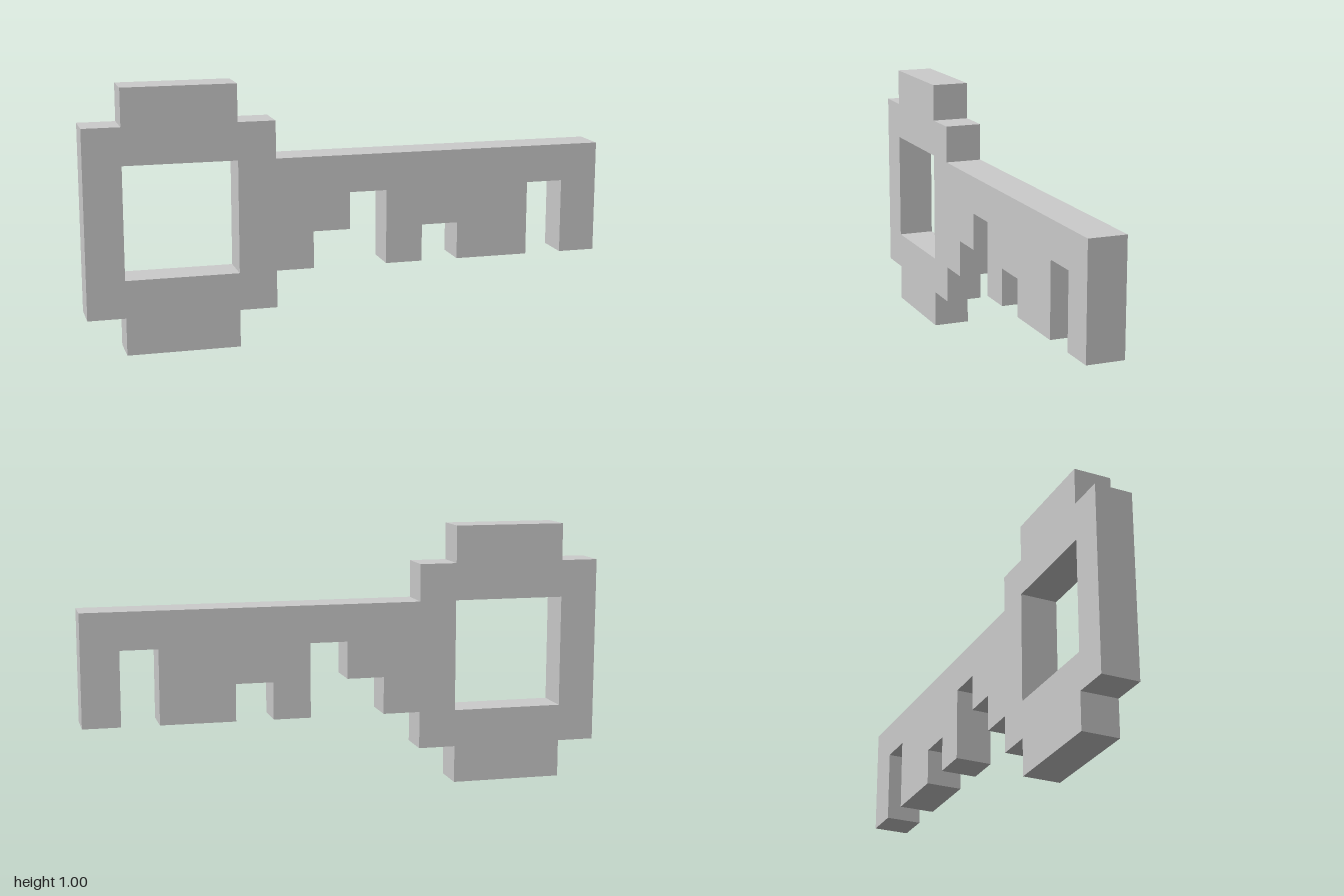
import * as THREE from 'three';

// The key is laid out on a square grid, 14 cells wide and 7 tall
const CELL = 1 / 7;
const toPoints = (cells) =>
  cells.map(([cx, cy]) => new THREE.Vector2(cx * CELL - 1, cy * CELL));

export function createModel() {
  const group = new THREE.Group();
  group.name = 'pixelKey';

  // Stepped outline, counter-clockwise from the bottom of the bow
  const outline = new THREE.Shape(toPoints([
    [1, 0], [4, 0], [4, 1], [5, 1],
    // steps from bow to shaft
    [5, 2], [6, 2], [6, 3], [7, 3], [7, 4], [8, 4],
    // teeth
    [8, 2], [9, 2], [9, 3], [10, 3], [10, 2], [12, 2], [12, 4], [13, 4], [13, 2], [14, 2],
    // top of shaft and bow
    [14, 5], [5, 5], [5, 6], [4, 6], [4, 7], [1, 7], [1, 6], [0, 6], [0, 1], [1, 1],
  ]));

  // Square opening in the bow
  outline.holes.push(new THREE.Path(toPoints([[1, 2], [1, 5], [4, 5], [4, 2]])));

  const geometry = new THREE.ExtrudeGeometry(outline, { depth: CELL, bevelEnabled: false });
  geometry.translate(0, 0, -CELL / 2);

  const key = new THREE.Mesh(
    geometry,
    new THREE.MeshStandardMaterial({ color: 0xcccccc, flatShading: true })
  );
  key.name = 'keyBody';
  group.add(key);
  return group;
}
